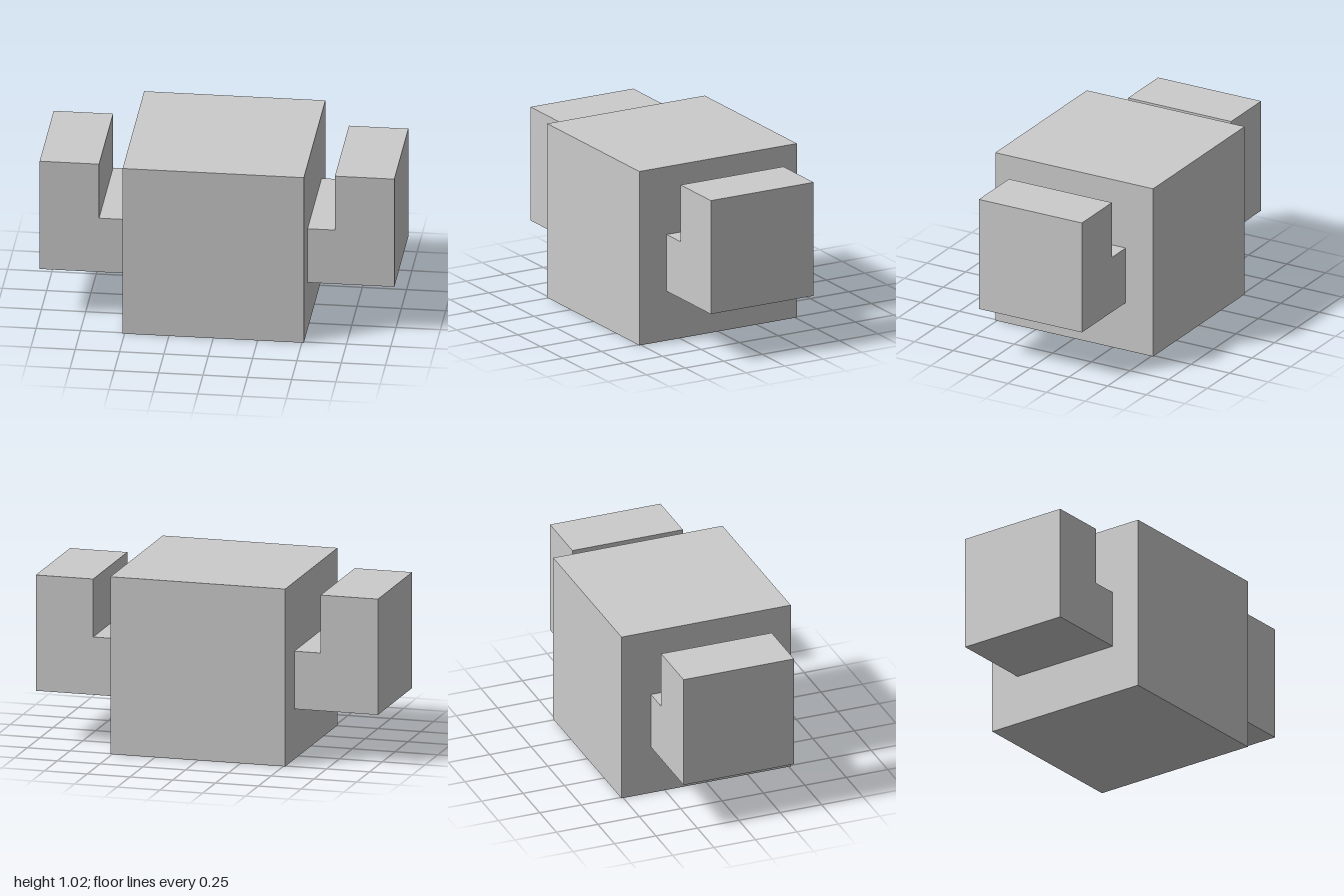
import * as THREE from 'three';

const material = new THREE.MeshStandardMaterial({ color: 0xcccccc, flatShading: true });

// L-shaped arm: a short link out of the body and a raised outer block
function createArm(name, turn) {
  const profile = new THREE.Shape([
    [0.51, 0.29], [1, 0.29], [1, 0.957], [0.665, 0.957], [0.665, 0.623], [0.51, 0.623],
  ].map(([x, y]) => new THREE.Vector2(x, y)));
  const depth = 0.667;
  const geometry = new THREE.ExtrudeGeometry(profile, { depth, bevelEnabled: false });
  geometry.translate(0, 0, -depth / 2);
  const arm = new THREE.Mesh(geometry, material);
  arm.name = name;
  arm.rotation.y = turn;
  return arm;
}

export function createModel() {
  const model = new THREE.Group();
  model.name = 'blockWithArms';

  // Central cube
  const size = 1.022;
  const body = new THREE.Mesh(new THREE.BoxGeometry(size, size, size), material);
  body.name = 'body';
  body.position.y = size / 2;

  // The arm is symmetric in z, so a half turn mirrors it
  model.add(body, createArm('leftArm', 0), createArm('rightArm', Math.PI));
  return model;
}
